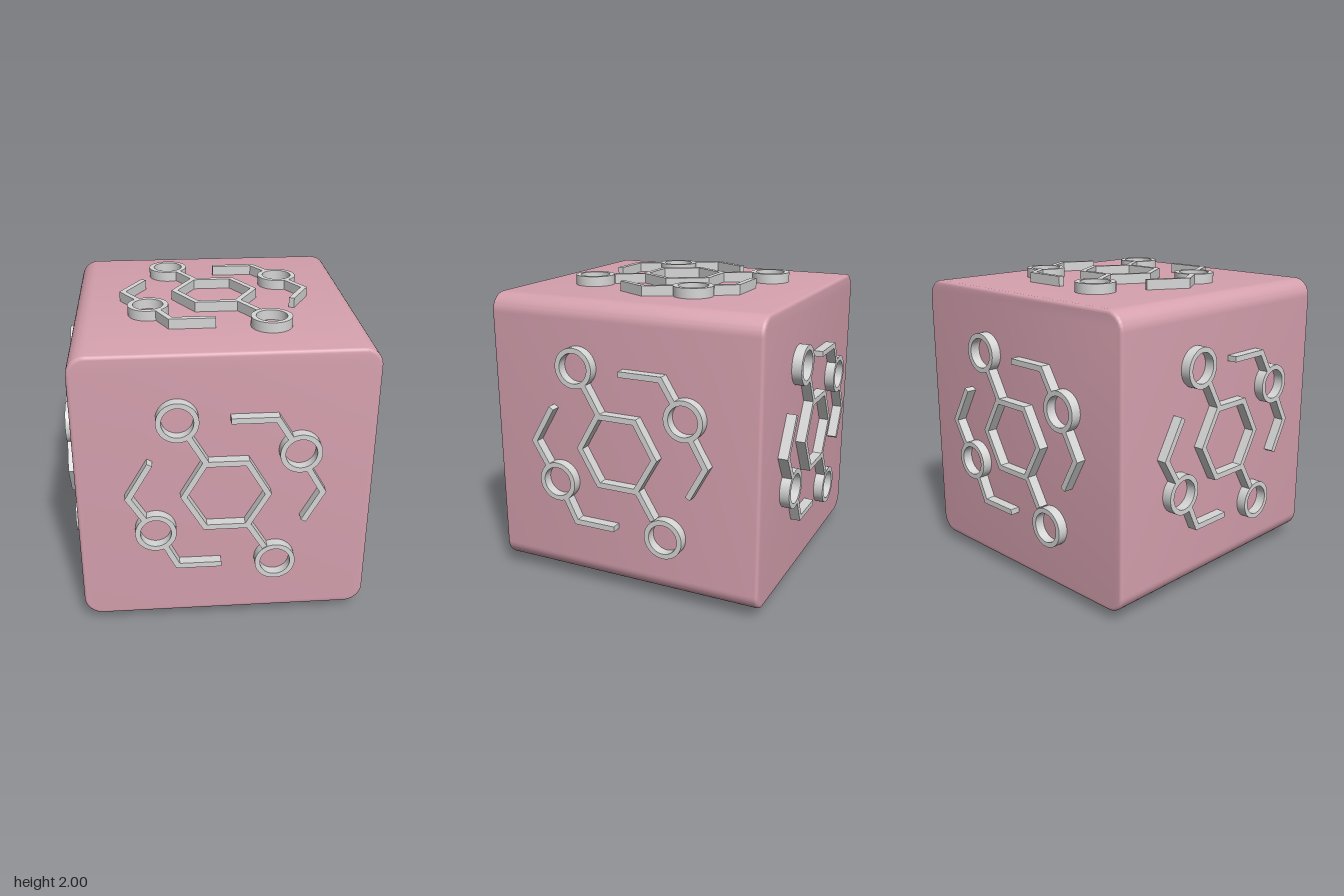
import * as THREE from 'three';
import { toCreasedNormals } from 'three/addons/utils/BufferGeometryUtils.js';

const pink = new THREE.MeshStandardMaterial({ color: 0xd6a1af });
pink.name = 'pink';
const grey = new THREE.MeshStandardMaterial({ color: 0xd6d6d6 });
grey.name = 'light grey';

const HALF = 0.935;   // half size of the cube
const STROKE = 0.037; // width of the raised lines
const SINK = 0.015;   // how far the relief is sunk into the face

function part(name, geometry, material) {
  const mesh = new THREE.Mesh(geometry, material);
  mesh.name = name;
  return mesh;
}

// Raise a flat shape from the cube face out to 1
function raise(shape) {
  const g = new THREE.ExtrudeGeometry(shape, {
    depth: 1 - HALF + SINK, bevelEnabled: false, curveSegments: 24,
  });
  g.translate(0, 0, HALF - SINK);
  return toCreasedNormals(g, 0.5);
}

// Constant-width outline along an open path, with mitred bends
function strokeShape(points) {
  const p = points.map(([x, y]) => new THREE.Vector2(x, y));
  const normal = (a, b) => {
    const d = b.clone().sub(a).normalize();
    return new THREE.Vector2(-d.y, d.x);
  };
  const left = [], right = [];
  p.forEach((v, i) => {
    const n0 = normal(p[Math.max(i - 1, 0)], p[Math.max(i, 1)]);
    const n1 = i < p.length - 1 ? normal(v, p[i + 1]) : n0;
    const m = n0.clone().add(n1).normalize();
    m.multiplyScalar(STROKE / 2 / m.dot(n0));
    left.push(v.clone().add(m));
    right.unshift(v.clone().sub(m));
  });
  return new THREE.Shape([...right, ...left]);
}

function ringShape(x, y) {
  const s = new THREE.Shape().absarc(x, y, 0.131, 0, Math.PI * 2, false);
  s.holes.push(new THREE.Path().absarc(x, y, 0.098, 0, Math.PI * 2, true));
  return s;
}

function hexagonShape() {
  const corners = (r) => Array.from({ length: 6 }, (_, i) =>
    new THREE.Vector2(r * Math.cos(i * Math.PI / 3), r * Math.sin(i * Math.PI / 3)));
  const s = new THREE.Shape(corners(0.285));
  s.holes.push(new THREE.Path(corners(0.243).reverse()));
  return s;
}

// Rounded square with soft front and back rims
function cubeGeometry() {
  const bevel = 0.022, r = 0.12, c = HALF - r;
  const s = new THREE.Shape();
  for (let i = 0; i < 4; i++) {
    const a = i * Math.PI / 2;
    const cx = c * (i === 0 || i === 3 ? 1 : -1), cy = c * (i < 2 ? 1 : -1);
    s.absarc(cx, cy, r, a, a + Math.PI / 2, false);
  }
  const depth = 2 * (HALF - bevel);
  const g = new THREE.ExtrudeGeometry(s, {
    depth, bevelEnabled: true, bevelThickness: bevel, bevelSize: bevel,
    bevelOffset: -bevel, bevelSegments: 4, curveSegments: 10,
  });
  g.translate(0, 0, -depth / 2);
  return toCreasedNormals(g, 0.6);
}

export function createModel() {
  const model = new THREE.Group();
  model.name = 'decoratedCube';
  const body = new THREE.Group();
  body.name = 'cube';
  body.position.y = 1;
  model.add(body);
  body.add(part('cubeBody', cubeGeometry(), pink));

  // Relief pieces in face coordinates
  const rings = [[-0.295, 0.52], [0.46, 0.28], [-0.445, -0.26], [0.32, -0.52]];
  const lines = [
    [[-0.225, 0.413], [-0.125, 0.24]],
    [[0.145, -0.23], [0.25, -0.405]],
    [[0.027, 0.52], [0.31, 0.52], [0.393, 0.385]],
    [[0.51, 0.17], [0.607, 0], [0.492, -0.21]],
    [[-0.47, 0.24], [-0.61, 0], [-0.512, -0.16]],
    [[-0.383, -0.37], [-0.31, -0.52], [-0.03, -0.52]],
  ];
  const relief = [
    ['hexagon', raise(hexagonShape())],
    ...rings.map(([x, y]) => ['ring', raise(ringShape(x, y))]),
    ...lines.map((l) => ['line', raise(strokeShape(l))]),
  ];

  // The same relief turned onto all six faces
  const q = Math.PI / 2;
  const faces = {
    front: [0, 0], left: [0, q], back: [0, 2 * q], right: [0, -q], top: [-q, 0], bottom: [q, 0],
  };
  for (const [name, [rx, ry]] of Object.entries(faces)) {
    const face = new THREE.Group();
    face.name = name + 'Relief';
    face.rotation.set(rx, ry, 0);
    relief.forEach(([n, g]) => face.add(part(n, g, grey)));
    body.add(face);
  }
  return model;
}
